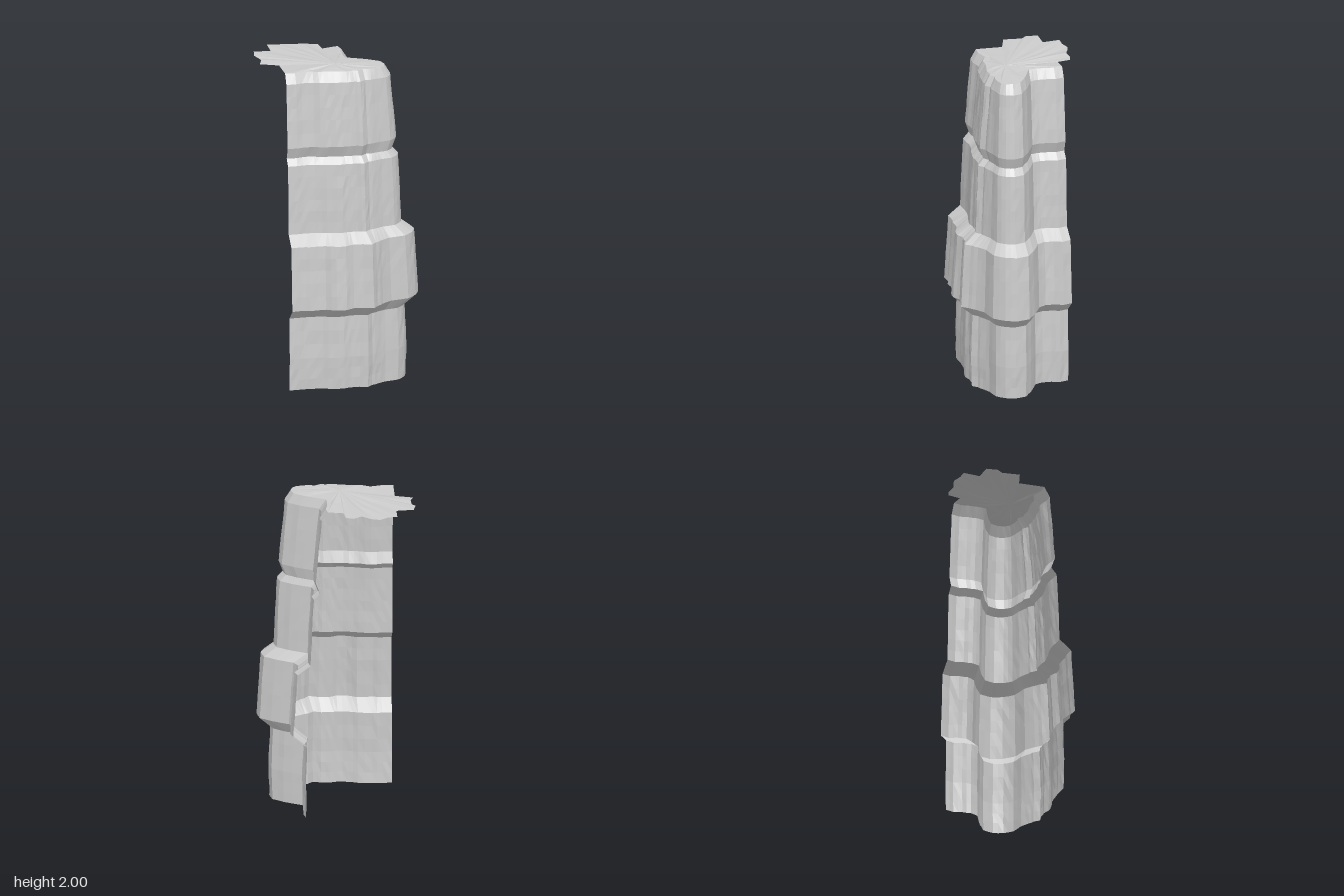
import * as THREE from 'three';

// Plan outlines (x, z) of the cliff face at its widest ledge and at its rim
const WIDE = [
  [-0.36, 0.35], [-0.3, 0.345], [-0.25, 0.36], [-0.15, 0.355], [-0.09, 0.385], [-0.03, 0.39],
  [0.02, 0.365], [0.08, 0.37], [0.14, 0.39], [0.17, 0.355], [0.21, 0.32], [0.27, 0.28],
  [0.38, 0.26], [0.44, 0.2], [0.47, 0.13], [0.455, 0.05], [0.39, 0], [0.285, -0.06],
  [0.255, -0.11], [0.26, -0.165], [0.285, -0.215], [0.27, -0.27],
];
const RIM = [
  [-0.36, 0.15], [-0.3, 0.155], [-0.22, 0.135], [-0.16, 0.165], [-0.1, 0.165], [-0.03, 0.18],
  [0.01, 0.19], [0.05, 0.185], [0.08, 0.192], [0.115, 0.17], [0.15, 0.18], [0.19, 0.175],
  [0.23, 0.165], [0.255, 0.14], [0.265, 0.1], [0.25, 0.05], [0.18, 0], [0.06, -0.06],
  [0.055, -0.11], [0.06, -0.165], [0.07, -0.215], [0.06, -0.27],
];
// Rest of the top slab outline, running behind the walls
const SLAB_BACK = [
  [-0.035, -0.27], [-0.045, -0.35], [-0.09, -0.365], [-0.14, -0.355], [-0.2, -0.38], [-0.25, -0.395],
  [-0.3, -0.375], [-0.355, -0.375], [-0.355, -0.27], [-0.46, -0.27], [-0.475, -0.2],
  [-0.455, -0.165], [-0.45, -0.11], [-0.47, -0.055], [-0.36, -0.015],
];
// Height and inset (0 = wide outline, 1 = rim) of the stacked tiers
const TIERS = [
  [0, 0.375], [0.2, 0.35], [0.46, 0.4], [0.53, 0], [0.7, 0.05], [0.93, 0.125], [0.99, 0.5],
  [1.2, 0.54], [1.42, 0.6], [1.46, 0.775], [1.53, 0.65], [1.7, 0.72], [1.93, 0.825], [1.99, 1],
];

const noise = (a, b) => {
  const s = Math.sin(a * 12.9898 + b * 78.233) * 43758.5453;
  return s - Math.floor(s) - 0.5;
};
const mix = (a, b, t) => a + (b - a) * t;

function facetedMesh(name, triangles, material) {
  const geometry = new THREE.BufferGeometry();
  geometry.setAttribute('position', new THREE.Float32BufferAttribute(triangles.flat(), 3));
  geometry.computeVertexNormals();
  const mesh = new THREE.Mesh(geometry, material);
  mesh.name = name;
  return mesh;
}

// Subdivide the tier rows so the large faces can be chipped
function wallRows() {
  const rows = [];
  for (let k = 0; k < TIERS.length - 1; k++) {
    const [y0, t0] = TIERS[k], [y1, t1] = TIERS[k + 1];
    const n = Math.max(1, Math.round((y1 - y0) / 0.08));
    for (let i = 0; i < n; i++) rows.push({ y: mix(y0, y1, i / n), t: mix(t0, t1, i / n), chip: i > 0 });
  }
  rows.push({ y: 1.99, t: 1, chip: false });
  return rows;
}

function buildWall(material) {
  const STEPS = 2, columns = (WIDE.length - 1) * STEPS;
  const grid = wallRows().map(({ y, t, chip }, r) => {
    const row = [];
    for (let c = 0; c <= columns; c++) {
      const k = Math.min(Math.floor(c / STEPS), WIDE.length - 2);
      const f = c / STEPS - k;
      const groove = c % STEPS ? noise(c, 3) * 0.03 : 0; // vertical cracks
      const s = t + (y < 1.98 ? groove : 0) + (chip ? noise(c, r + 7) * 0.025 : 0);
      row.push([
        mix(mix(WIDE[k][0], WIDE[k + 1][0], f), mix(RIM[k][0], RIM[k + 1][0], f), s),
        y,
        mix(mix(WIDE[k][1], WIDE[k + 1][1], f), mix(RIM[k][1], RIM[k + 1][1], f), s),
      ]);
    }
    return row;
  });
  const triangles = [];
  for (let r = 0; r < grid.length - 1; r++) {
    for (let c = 0; c < columns; c++) {
      const a = grid[r][c], b = grid[r][c + 1], d = grid[r + 1][c], e = grid[r + 1][c + 1];
      triangles.push(...a, ...b, ...e, ...a, ...e, ...d);
    }
  }
  return facetedMesh('cliffWall', triangles, material);
}

// Thin top slab: a faceted fan around one high point
function buildSlab(material) {
  const ring = [
    ...RIM.map(([x, z]) => [x, 1.99, z]),
    ...SLAB_BACK.map(([x, z], i) => [x, 1.988 + noise(i, 5) * 0.014, z]),
  ];
  const peak = [-0.03, 2, 0.06];
  const mid = ring.map((p, i) => [
    mix(peak[0], p[0], 0.55), 1.992 + noise(i, 11) * 0.012, mix(peak[2], p[2], 0.55),
  ]);
  const triangles = [];
  ring.forEach((p, i) => {
    const j = (i + 1) % ring.length;
    triangles.push(...peak, ...mid[i], ...mid[j]);
    triangles.push(...mid[i], ...p, ...ring[j], ...mid[i], ...ring[j], ...mid[j]);
  });
  return facetedMesh('topSlab', triangles, material);
}

export function createModel() {
  const rock = new THREE.MeshStandardMaterial({ color: 0xcccccc, flatShading: true, side: THREE.DoubleSide });
  rock.name = 'paleRock';
  const group = new THREE.Group();
  group.name = 'rockCliffCorner';
  group.add(buildWall(rock), buildSlab(rock));
  return group;
}
